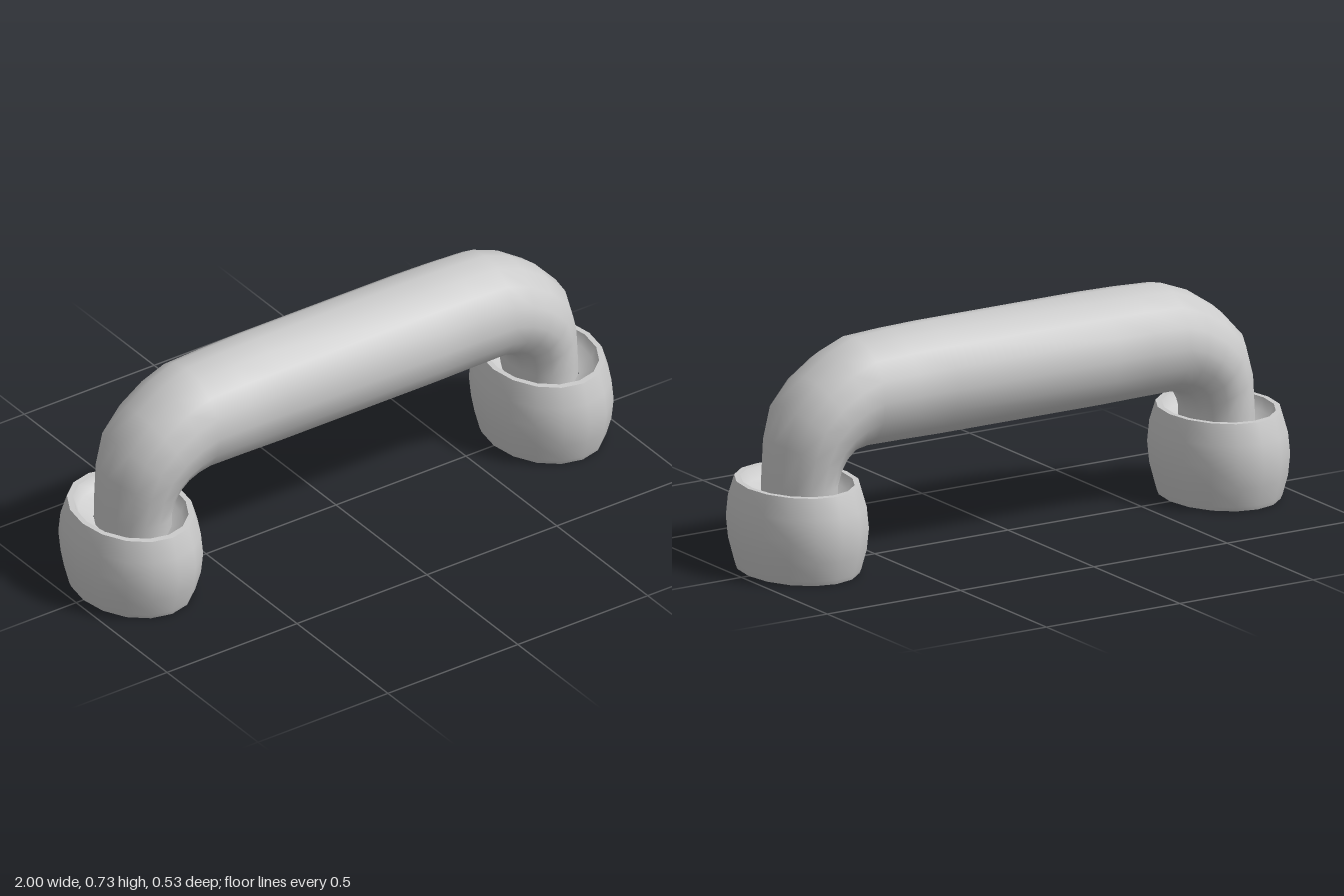
import * as THREE from 'three';

const material = new THREE.MeshStandardMaterial({ color: 0xcccccc });
const SIDES = 16;

// Swept grip: each station has an outer point, an inner point and a half depth in z
function gripGeometry() {
  const half = [
    [0.895, 0.14, 0.67, 0.14, 0.14],
    [0.893, 0.28, 0.67, 0.28, 0.144],
    [0.88, 0.42, 0.662, 0.31, 0.156],
    [0.845, 0.535, 0.65, 0.335, 0.168],
    [0.765, 0.622, 0.63, 0.354, 0.174],
    [0.67, 0.685, 0.605, 0.364, 0.177],
    [0.575, 0.722, 0.57, 0.37, 0.179],
    [0.44, 0.729, 0.44, 0.369, 0.181],
    [0.3, 0.732, 0.3, 0.367, 0.183],
  ];
  const mirrored = half.map(([ox, oy, ix, iy, d]) => [-ox, oy, -ix, iy, d]).reverse();
  const stations = [...half, ...mirrored];
  const positions = [];
  const index = [];
  stations.forEach(([ox, oy, ix, iy, depth], s) => {
    for (let i = 0; i < SIDES; i++) {
      const a = (i / SIDES) * Math.PI * 2;
      const k = Math.cos(a) / 2;
      positions.push(
        (ox + ix) / 2 + (ox - ix) * k,
        (oy + iy) / 2 + (oy - iy) * k,
        depth * Math.sin(a)
      );
      if (s < stations.length - 1) {
        const p = s * SIDES + i;
        const q = s * SIDES + ((i + 1) % SIDES);
        index.push(p, p + SIDES, q, q, p + SIDES, q + SIDES);
      }
    }
  });
  const geometry = new THREE.BufferGeometry();
  geometry.setAttribute('position', new THREE.Float32BufferAttribute(positions, 3));
  geometry.setIndex(index);
  geometry.computeVertexNormals();
  return geometry;
}

// Oval foot cup; each band is its own lathe so the rims stay sharp
function createCup(name) {
  const bands = {
    Base: [[0.155, 0], [0.228, 0]],
    Outer: [[0.228, 0], [0.235, 0.015], [0.255, 0.08], [0.263, 0.15], [0.255, 0.22], [0.232, 0.287]],
    Rim: [[0.232, 0.287], [0.21, 0.287]],
    Bowl: [[0.21, 0.287], [0.192, 0.25], [0.135, 0.225]],
    Ceiling: [[0, 0.13], [0.143, 0.13]],
    Hole: [[0.143, 0.13], [0.155, 0]],
  };
  const cup = new THREE.Group();
  cup.name = name;
  for (const [band, points] of Object.entries(bands)) {
    const profile = points.map(([r, y]) => new THREE.Vector2(r, y));
    const mesh = new THREE.Mesh(new THREE.LatheGeometry(profile, SIDES), material);
    mesh.name = 'cup' + band;
    cup.add(mesh);
  }
  cup.scale.x = 0.8;
  return cup;
}

export function createModel() {
  const model = new THREE.Group();
  model.name = 'handle';

  const grip = new THREE.Mesh(gripGeometry(), material);
  grip.name = 'grip';
  model.add(grip);

  for (const [name, side] of [['leftFoot', 1], ['rightFoot', -1]]) {
    const cup = createCup(name);
    cup.position.x = side * 0.79;
    model.add(cup);
  }
  return model;
}
